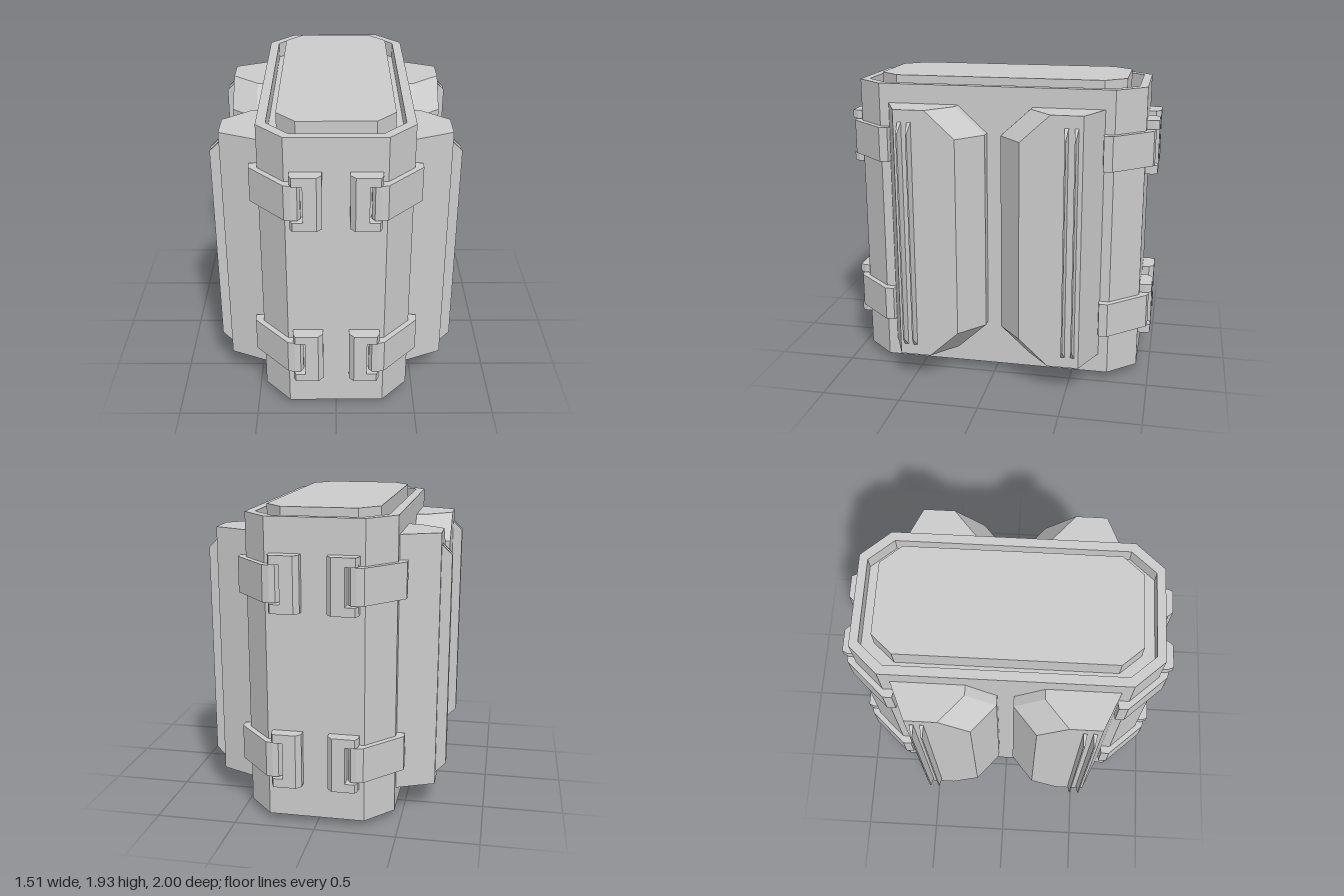
import * as THREE from 'three';

const material = new THREE.MeshStandardMaterial({ color: 0xcccccc, flatShading: true });

// Signed area of an (x, z) outline
const area = (p) => p.reduce((s, [x, z], i) => {
  const [x2, z2] = p[(i + 1) % p.length];
  return s + (x * z2 - x2 * z) / 2;
}, 0);

// Closed solid through horizontal (x, z) sections given as [y, points], mirrored by sx and sz
function loft(name, sections, sx = 1, sz = 1) {
  const pos = [];
  const rings = sections.map(([y, pts]) => {
    const p = pts.map(([x, z]) => [x * sx, z * sz]);
    if (area(p) < 0) p.reverse();
    return p.map(([x, z]) => [x, y, z]);
  });
  const tri = (a, b, c) => pos.push(...a, ...b, ...c);
  for (let k = 0; k < rings.length - 1; k++) {
    const lo = rings[k], hi = rings[k + 1];
    lo.forEach((a, i) => {
      const j = (i + 1) % lo.length;
      tri(a, hi[i], lo[j]);
      tri(lo[j], hi[i], hi[j]);
    });
  }
  const cap = (ring, up) => {
    const flat = ring.map(([x, , z]) => new THREE.Vector2(x, z));
    for (const [a, b, c] of THREE.ShapeUtils.triangulateShape(flat, [])) {
      const ccw = area([a, b, c].map((i) => [flat[i].x, flat[i].y])) > 0;
      if (ccw !== up) tri(ring[a], ring[b], ring[c]);
      else tri(ring[a], ring[c], ring[b]);
    }
  };
  cap(rings[0], false);
  cap(rings[rings.length - 1], true);
  const g = new THREE.BufferGeometry();
  g.setAttribute('position', new THREE.Float32BufferAttribute(pos, 3));
  g.computeVertexNormals();
  const mesh = new THREE.Mesh(g, material);
  mesh.name = name;
  return mesh;
}

const prism = (name, pts, y0, y1, sx, sz) => loft(name, [[y0, pts], [y1, pts]], sx, sz);

// Rectangle with chamfered corners: half sizes X, Z and chamfer ends cx, cz
const octagon = (X, Z, cx, cz) => [
  [X, -cz], [X, cz], [cx, Z], [-cx, Z], [-X, cz], [-X, -cz], [-cx, -Z], [cx, -Z],
];

function createBody() {
  const body = new THREE.Group();
  body.name = 'body';
  // Outer shell, open at both ends
  const toVec = (pts) => pts.map(([x, z]) => new THREE.Vector2(x, z));
  const shape = new THREE.Shape(toVec(octagon(0.458, 0.92, 0.295, 0.74)));
  shape.holes.push(new THREE.Path(toVec(octagon(0.4, 0.867, 0.265, 0.715))));
  const g = new THREE.ExtrudeGeometry(shape, { depth: 1.845, bevelEnabled: false });
  g.rotateX(-Math.PI / 2).translate(0, 0.045, 0);
  const shell = new THREE.Mesh(g, material);
  shell.name = 'shell';
  // Recess floors and raised end plates
  body.add(shell,
    prism('recessFloor', octagon(0.41, 0.875, 0.27, 0.72), 0.14, 1.79),
    prism('endPlate', octagon(0.345, 0.79, 0.23, 0.66), 0, 1.93));
  return body;
}

function createPod(sx, sz) {
  const pod = new THREE.Group();
  pod.name = 'sidePod';
  // Section whose inner edge moves by d to form the slanted ends
  const section = (d) => [
    [0.44, 0.05 + d], [0.52, 0.05 + d], [0.692, 0.197 + d],
    [0.692, 0.577], [0.458, 0.68], [0.44, 0.68],
  ];
  pod.add(loft('podShell', [
    [0.17, section(0.185)], [0.34, section(0)], [1.6, section(0)], [1.77, section(0.185)],
  ], sx, sz));
  // Two thin tapered fins
  for (const z of [0.478, 0.538]) {
    const fin = (x, tip) => [[0.68, z - 0.013], [x, z - tip], [x, z + tip], [0.68, z + 0.013]];
    pod.add(loft('fin', [
      [0.24, fin(0.694, 0.012)], [0.3, fin(0.755, 0.004)],
      [1.635, fin(0.755, 0.004)], [1.695, fin(0.694, 0.012)],
    ], sx, sz));
  }
  return pod;
}

function createClasp(y, sx, sz) {
  const clasp = new THREE.Group();
  clasp.name = 'clasp';
  // Strap bent round the chamfered corner
  const strap = [
    [0.44, 0.67], [0.51, 0.68], [0.51, 0.735], [0.297, 0.97],
    [0.255, 0.98], [0.22, 0.975], [0.203, 0.95], [0.203, 0.9], [0.28, 0.9], [0.44, 0.73],
  ];
  clasp.add(prism('strap', strap, y - 0.11, y + 0.11, sx, sz));
  // C-shaped buckle: inner bar with an arm above and below the strap
  const bar = [[0.08, 0.91], [0.08, 0.965], [0.11, 0.998], [0.19, 0.998], [0.19, 0.91]];
  const arm = [[0.08, 0.91], [0.08, 0.965], [0.11, 0.998], [0.25, 0.998], [0.265, 0.965], [0.265, 0.91]];
  clasp.add(
    prism('buckleBar', bar, y - 0.115, y + 0.115, sx, sz),
    prism('buckleArm', arm, y - 0.17, y - 0.115, sx, sz),
    prism('buckleArm', arm, y + 0.115, y + 0.17, sx, sz));
  return clasp;
}

export function createModel() {
  const model = new THREE.Group();
  model.name = 'strappedCanister';
  model.add(createBody());
  for (const sx of [1, -1]) {
    for (const sz of [1, -1]) {
      model.add(createPod(sx, sz));
      for (const y of [0.43, 1.51]) model.add(createClasp(y, sx, sz));
    }
  }
  return model;
}
